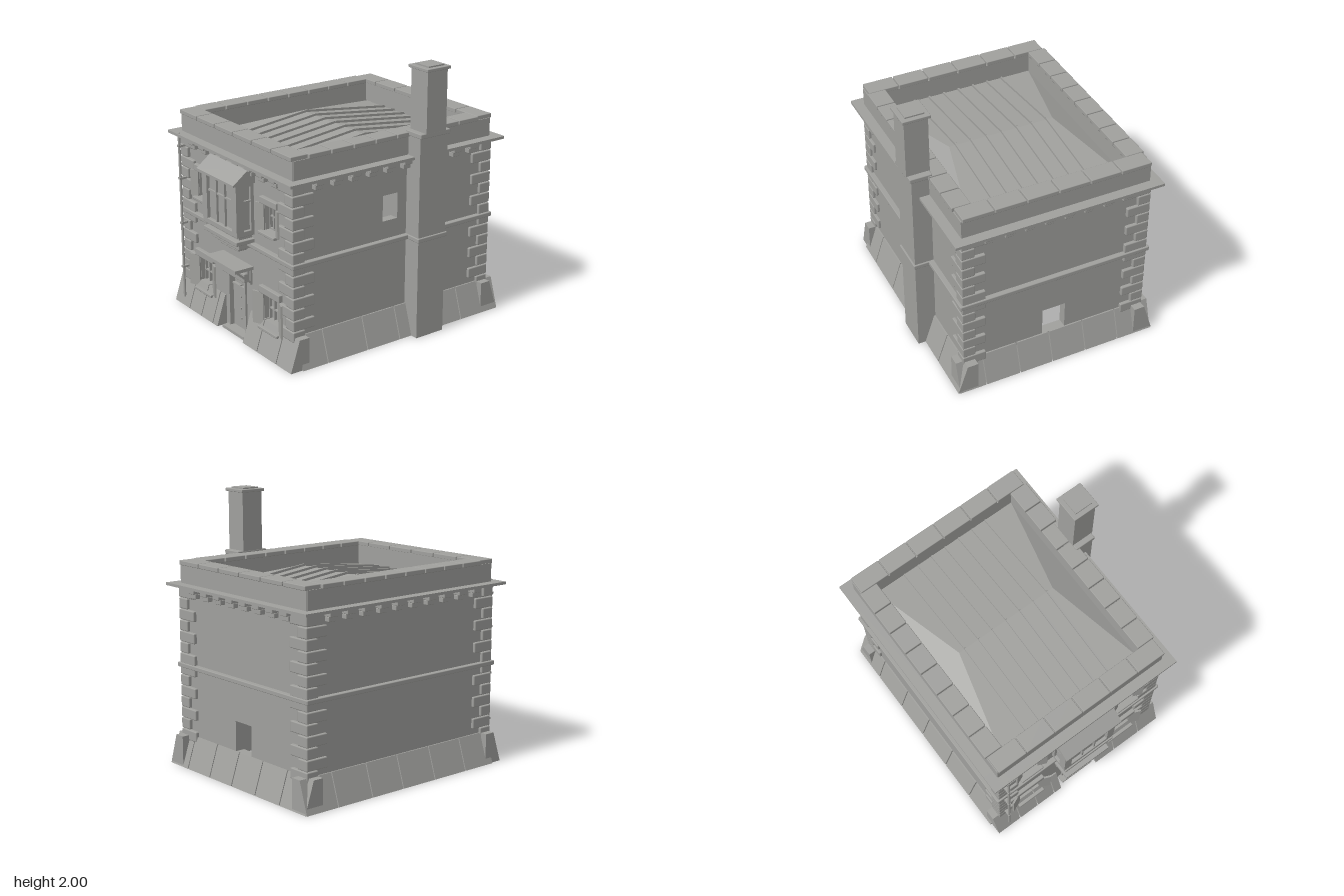
import * as THREE from 'three';
import { RoundedBoxGeometry } from 'three/addons/geometries/RoundedBoxGeometry.js';

const stone = new THREE.MeshStandardMaterial({ color: 0xa0a09d });
stone.name = 'grey stone';
stone.side = THREE.DoubleSide;

// Plan centre and half sizes of the walls
const CX = -0.05, CZ = -0.045, HX = 0.705, HZ = 0.855;

function add(parent, name, geometry) {
  const mesh = new THREE.Mesh(geometry, stone);
  mesh.name = name;
  parent.add(mesh);
  return mesh;
}

// Box given by its limits on each axis
function box(parent, name, x0, x1, y0, y1, z0, z1, round = 0) {
  const w = x1 - x0, h = y1 - y0, d = z1 - z0;
  const g = round ? new RoundedBoxGeometry(w, h, d, 1, round) : new THREE.BoxGeometry(w, h, d);
  const mesh = add(parent, name, g);
  mesh.position.set((x0 + x1) / 2, (y0 + y1) / 2, (z0 + z1) / 2);
  return mesh;
}

function group(parent, name) {
  const g = new THREE.Group();
  g.name = name;
  parent.add(g);
  return g;
}

function rectPath(path, [x0, x1, y0, y1]) {
  path.moveTo(x0, y0);
  path.lineTo(x1, y0);
  path.lineTo(x1, y1);
  path.lineTo(x0, y1);
  path.closePath();
  return path;
}

// Wall with rectangular openings, outer face at z = out
function wall(parent, name, half, out, holes) {
  const s = rectPath(new THREE.Shape(), [-half, half, 0, 1.36]);
  holes.forEach(h => s.holes.push(rectPath(new THREE.Path(), h)));
  const g = new THREE.ExtrudeGeometry(s, { depth: 0.07, bevelEnabled: false });
  add(parent, name, g).position.z = out - 0.07;
}

// Solid made from an (outward, height) profile drawn along x
function sloped(parent, name, points, x0, x1) {
  const s = new THREE.Shape(points.map(p => new THREE.Vector2(...p)));
  const g = new THREE.ExtrudeGeometry(s, { depth: x1 - x0, bevelEnabled: false });
  add(parent, name, g.rotateY(-Math.PI / 2)).position.x = x1;
}

// Sloping plinth blocks between successive joints
function plinth(parent, out, joints) {
  for (let i = 0; i + 1 < joints.length; i++) {
    sloped(parent, 'plinthBlock', [[out - 0.07, 0], [out + 0.085, 0], [out + 0.01, 0.23], [out - 0.07, 0.23]],
      joints[i] + 0.004, joints[i + 1] - 0.004);
  }
}

function modillions(parent, out, xs) {
  xs.forEach(x => {
    box(parent, 'modillionTop', x - 0.036, x + 0.036, 1.3, 1.336, out - 0.01, out + 0.06, 0.005);
    box(parent, 'modillionFoot', x - 0.032, x + 0.032, 1.265, 1.3, out - 0.01, out + 0.04, 0.005);
  });
}

// Window with bars, lintel, sill and a pair of half-open shutters
function shutteredWindow(parent, x0, x1, y0, y1, shutterWidth, lintelHeight) {
  const w = group(parent, 'window');
  const out = 0.81, mid = (x0 + x1) / 2, half = (x1 - x0) / 2, h = y1 - y0;
  box(w, 'pane', x0, x1, y0, y1, out - 0.062, out - 0.056);
  for (const f of [-0.95, -0.33, 0.33, 0.95]) {
    const x = mid + f * half;
    box(w, 'uprightBar', x - 0.005, x + 0.005, y0, y1, out - 0.06, out - 0.035);
  }
  for (const f of [0.03, 0.5, 0.97]) {
    box(w, 'crossBar', x0, x1, y0 + f * h - 0.005, y0 + f * h + 0.005, out - 0.06, out - 0.037);
  }
  box(w, 'lintel', mid - half - 0.032, mid + half + 0.032, y1, y1 + lintelHeight, out - 0.02, out + 0.03, 0.006);
  box(w, 'sill', mid - half - 0.025, mid + half + 0.025, y0 - 0.022, y0, out - 0.03, out + 0.05, 0.005);
  for (const s of [-1, 1]) {
    const hinge = group(w, 'shutterHinge');
    hinge.position.set(mid + s * half, 0, out + 0.006);
    hinge.rotation.y = -s * 0.4;
    const a = s * shutterWidth / Math.cos(0.4);
    box(hinge, 'shutter', Math.min(0, a), Math.max(0, a), y0, y1, -0.006, 0.008);
  }
}

function bayWindow(parent) {
  const b = group(parent, 'bayWindow');
  const x0 = -0.275, x1 = 0.172, z0 = 0.8, z1 = 0.955;
  box(b, 'bayCore', x0 + 0.02, x1 - 0.02, 0.83, 1.21, z0, z1 - 0.025);
  box(b, 'bayBase', x0, x1, 0.825, 0.865, z0, z1, 0.005);
  box(b, 'bayHead', x0, x1, 1.185, 1.215, z0, z1);
  for (const [a, c] of [[x0, x0 + 0.062], [x1 - 0.062, x1]]) box(b, 'bayPost', a, c, 0.86, 1.19, z1 - 0.06, z1);
  for (const x of [-0.105, 0.003]) box(b, 'mullion', x - 0.006, x + 0.006, 0.86, 1.19, z1 - 0.04, z1 - 0.008);
  box(b, 'transom', x0 + 0.06, x1 - 0.06, 1.072, 1.084, z1 - 0.04, z1 - 0.01);
  for (const x of [x0, x1 - 0.03]) {
    box(b, 'rearPost', x, x + 0.03, 0.86, 1.19, z0, z0 + 0.035);
    box(b, 'sideTransom', x + 0.004, x + 0.026, 1.072, 1.084, z0, z1);
  }
  sloped(b, 'awning', [[0.8, 1.21], [0.985, 1.21], [0.985, 1.222], [0.87, 1.31], [0.8, 1.31]], -0.293, 0.19);
  // Corbelled foot
  box(b, 'footNeck', x0 + 0.03, x1 - 0.03, 0.79, 0.83, z0, 0.92);
  box(b, 'footTop', -0.265, 0.172, 0.765, 0.797, z0, 0.96, 0.005);
  box(b, 'footMiddle', -0.22, 0.13, 0.715, 0.766, z0, 0.915, 0.005);
  box(b, 'footBottom', -0.165, 0.068, 0.678, 0.716, z0, 0.885, 0.005);
}

function frontDoor(parent) {
  const d = group(parent, 'frontDoor');
  box(d, 'doorLeaf', -0.155, 0.02, 0.02, 0.35, 0.765, 0.79);
  box(d, 'doorHead', -0.155, 0.05, 0.35, 0.44, 0.755, 0.775);
  box(d, 'doorSide', 0.02, 0.055, 0.02, 0.35, 0.755, 0.775);
  box(d, 'doorRail', -0.155, 0.05, 0.345, 0.357, 0.765, 0.8);
  for (const x of [-0.165, 0.045]) box(d, 'doorJamb', x, x + 0.012, 0, 0.44, 0.74, 0.825);
  for (const y of [0.1, 0.18, 0.27, 0.36]) box(d, 'stud', -0.057, -0.045, y - 0.006, y + 0.006, 0.775, 0.798);
  box(d, 'doorstep', -0.19, 0.092, 0, 0.022, 0.74, 0.87);
  box(d, 'doorLintel', -0.202, 0.102, 0.445, 0.512, 0.8, 0.86, 0.005);
  box(d, 'hoodMoulding', -0.215, 0.115, 0.512, 0.552, 0.8, 0.84);
  box(d, 'hood', -0.247, 0.148, 0.552, 0.576, 0.8, 0.962);
  for (const x of [-0.222, 0.125]) {
    box(d, 'bracketUpright', x - 0.007, x + 0.007, 0.435, 0.553, 0.805, 0.825);
    sloped(d, 'bracketStrut', [[0.82, 0.44], [0.95, 0.553], [0.93, 0.553], [0.82, 0.46]], x - 0.007, x + 0.007);
  }
}

// Row of coping stones along one axis
function coping(parent, from, to, count, place) {
  const step = (to - from) / count;
  for (let i = 0; i < count; i++) place(from + i * step + 0.004, from + (i + 1) * step - 0.004);
}

function roof(parent) {
  const r = group(parent, 'roof');
  const [x0, x1, z0, z1, y0, y1] = [-0.65, 0.55, -0.8, 0.71, 1.34, 1.43];
  const [a, b, c, d] = [[x0, y0, z0], [x1, y0, z0], [x1, y0, z1], [x0, y0, z1]];
  const e = [-0.46, y1, CZ], f = [0.36, y1, CZ];
  const g = new THREE.BufferGeometry();
  const corners = [d, c, f, d, f, e, b, a, e, b, e, f, c, b, f, a, d, e];
  g.setAttribute('position', new THREE.Float32BufferAttribute(corners.flat(), 3));
  g.computeVertexNormals();
  add(r, 'roofSlopes', g);
  const run = z1 - CZ, pitch = Math.atan2(y1 - y0, run), length = Math.hypot(run, y1 - y0);
  for (let i = 0; i < 7; i++) {
    for (const s of [-1, 1]) {
      const rib = add(r, 'roofSeam', new THREE.BoxGeometry(0.012, 0.022, length));
      rib.position.set(-0.41 + i * 0.12, (y0 + y1) / 2 + 0.006, CZ + s * run / 2);
      rib.rotation.x = s * pitch;
    }
  }
}

function chimney(parent) {
  const c = group(parent, 'chimney');
  box(c, 'stackLower', 0.6, 0.796, 0, 1.5, -0.395, -0.15);
  box(c, 'stackBand', 0.64, 0.808, 0.735, 0.768, -0.407, -0.14, 0.006);
  box(c, 'stackCollar', 0.645, 0.81, 1.497, 1.532, -0.408, -0.143, 0.006);
  box(c, 'stackUpper', 0.643, 0.817, 1.53, 1.975, -0.36, -0.185);
  box(c, 'stackCap', 0.627, 0.833, 1.968, 1.99, -0.378, -0.17, 0.004);
  box(c, 'stackLid', 0.66, 0.8, 1.985, 2, -0.343, -0.205);
}

export function createModel() {
  const model = new THREE.Group();
  model.name = 'house';

  // Four sides, each built facing +z and turned into place
  const holesFront = [[-0.155, 0.055, 0.001, 0.44], [-0.575, -0.39, 0.19, 0.43], [0.285, 0.475, 0.19, 0.43],
    [-0.555, -0.415, 0.905, 1.1], [0.31, 0.455, 0.905, 1.1]].map(h => [h[0] - CX, h[1] - CX, h[2], h[3]]);
  const sides = [
    ['frontSide', 0, HX, HZ, holesFront, [[-0.78, -0.57, -0.4, -0.24, -0.17], [0.165, 0.35, 0.59, 0.78]], 8],
    ['leftSide', Math.PI / 2, HZ, HX, [[-0.105, 0.025, 0.9, 1.09]], [[-0.85, -0.635, -0.29, 0, 0.33, 0.58, 0.94]], 10],
    ['backSide', Math.PI, HX, HZ, [[-0.09, 0.09, 0.23, 0.45]], [[-0.78, -0.57, -0.3, -0.04, 0.23, 0.5, 0.78]], 8],
    ['rightSide', -Math.PI / 2, HZ, HX, [], [[-0.94, -0.66, -0.35, -0.06, 0.25, 0.56, 0.85]], 10],
  ];
  for (const [name, turn, half, out, holes, joints, count] of sides) {
    const s = group(model, name);
    s.position.set(CX, 0, CZ);
    s.rotation.y = turn;
    wall(s, 'wall', half, out, holes);
    joints.forEach(j => plinth(s, out, j));
    const gap = (2 * half - 0.36) / (count - 1);
    modillions(s, out, Array.from({ length: count }, (_, i) => -half + 0.18 + i * gap));
    box(s, 'stringCourse', -half - 0.035, half + 0.035, 0.735, 0.768, out - 0.03, out + 0.038, 0.006);
    box(s, 'parapet', -half - 0.008, half + 0.008, 1.35, 1.49, out - 0.11, out + 0.012);
    box(s, 'cornice', -half - 0.085, half + 0.085, 1.335, 1.355, out - 0.05, out + 0.087);
  }

  // Corner quoins, alternately long on each face
  const quoins = group(model, 'quoins');
  for (const sx of [-1, 1]) for (const sz of [-1, 1]) for (let i = 0; i < 14; i++) {
    const top = 1.33 - i * 0.0815, long = (i < 7) === (i % 2 === 1);
    const w = long ? 0.1 : 0.18, d = long ? 0.18 : 0.1;
    const q = add(quoins, 'quoin', new RoundedBoxGeometry(w, 0.077, d, 1, 0.008));
    q.position.set(CX + sx * (HX + 0.02 - w / 2), top - 0.04, CZ + sz * (HZ + 0.025 - d / 2));
  }

  // Parapet coping
  const cope = group(model, 'coping');
  for (const s of [-1, 1]) {
    const z = CZ + s * 0.812, x = CX + s * 0.657;
    coping(cope, -0.765, 0.665, 6, (a, b) => box(cope, 'copingStone', a, b, 1.487, 1.52, z - 0.068, z + 0.068, 0.005));
    coping(cope, -0.79, 0.7, 8, (a, b) => box(cope, 'copingStone', x - 0.07, x + 0.07, 1.487, 1.52, a, b, 0.005));
  }

  for (const s of [-1, 1]) {
    const lower = s < 0 ? [-0.575, -0.39] : [0.285, 0.475], upper = s < 0 ? [-0.555, -0.415] : [0.31, 0.455];
    shutteredWindow(model, ...lower, 0.185, 0.43, 0.085, 0.055);
    shutteredWindow(model, ...upper, 0.905, 1.1, 0.065, 0.05);
  }
  bayWindow(model);
  frontDoor(model);
  roof(model);
  chimney(model);

  // Rainwater pipe
  const pipe = add(model, 'downpipe', new THREE.CylinderGeometry(0.01, 0.01, 1.3, 8));
  pipe.position.set(-0.715, 0.71, 0.877);
  for (const y of [0.3, 0.65, 1.0, 1.25]) box(model, 'pipeClip', -0.728, -0.702, y, y + 0.015, 0.81, 0.889);
  return model;
}
